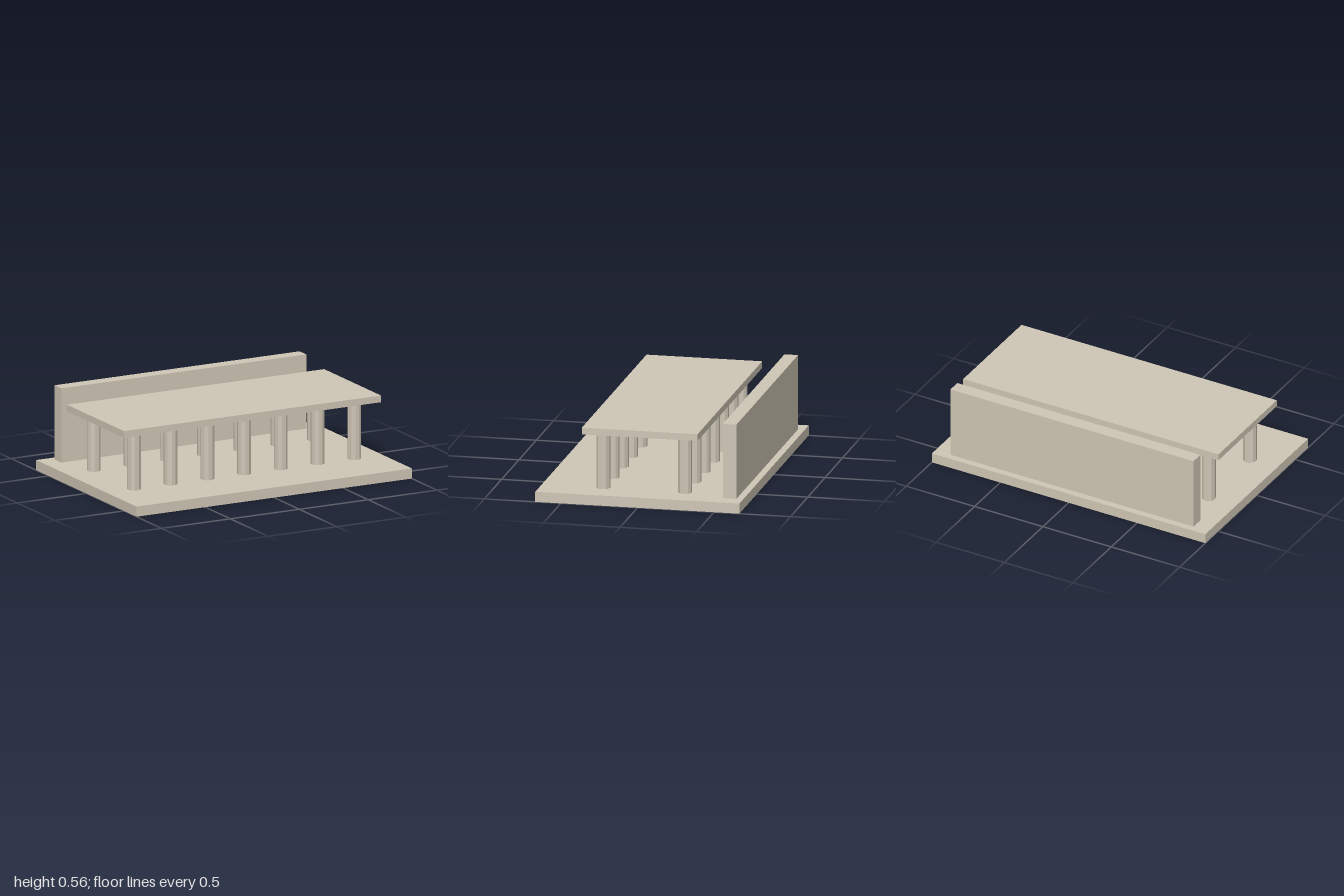
import * as THREE from 'three';

const U = 1 / 45; // modelling unit: the base is 90 x 60 units

export function createModel() {
  const group = new THREE.Group();
  const stone = new THREE.MeshStandardMaterial({ color: 0xcfc6b5, flatShading: true });

  // Box centred on x, given its size, bottom height and z centre
  const slab = (name, w, h, d, bottom, z = 0) => {
    const mesh = new THREE.Mesh(new THREE.BoxGeometry(w * U, h * U, d * U), stone);
    mesh.position.set(0, (bottom + h / 2) * U, z * U);
    mesh.name = name;
    group.add(mesh);
  };

  slab('base', 90, 3, 60, 0);
  slab('roof', 84, 2, 34, 20);
  slab('backWall', 80, 22, 4, 3, -26);

  // Two rows of seven ten-sided columns, corners pointing along x
  const columnGeometry = new THREE.CylinderGeometry(2 * U, 2 * U, 17 * U, 10).rotateY(Math.PI / 2);
  const columns = new THREE.Group();
  columns.name = 'columns';
  for (const [row, z] of [['front', 12], ['back', -12]]) {
    for (let i = 0; i < 7; i++) {
      const column = new THREE.Mesh(columnGeometry, stone);
      column.position.set((i - 3) * 12 * U, 11.5 * U, z * U);
      column.name = `${row}Column${i + 1}`;
      columns.add(column);
    }
  }
  group.add(columns);

  return group;
}
